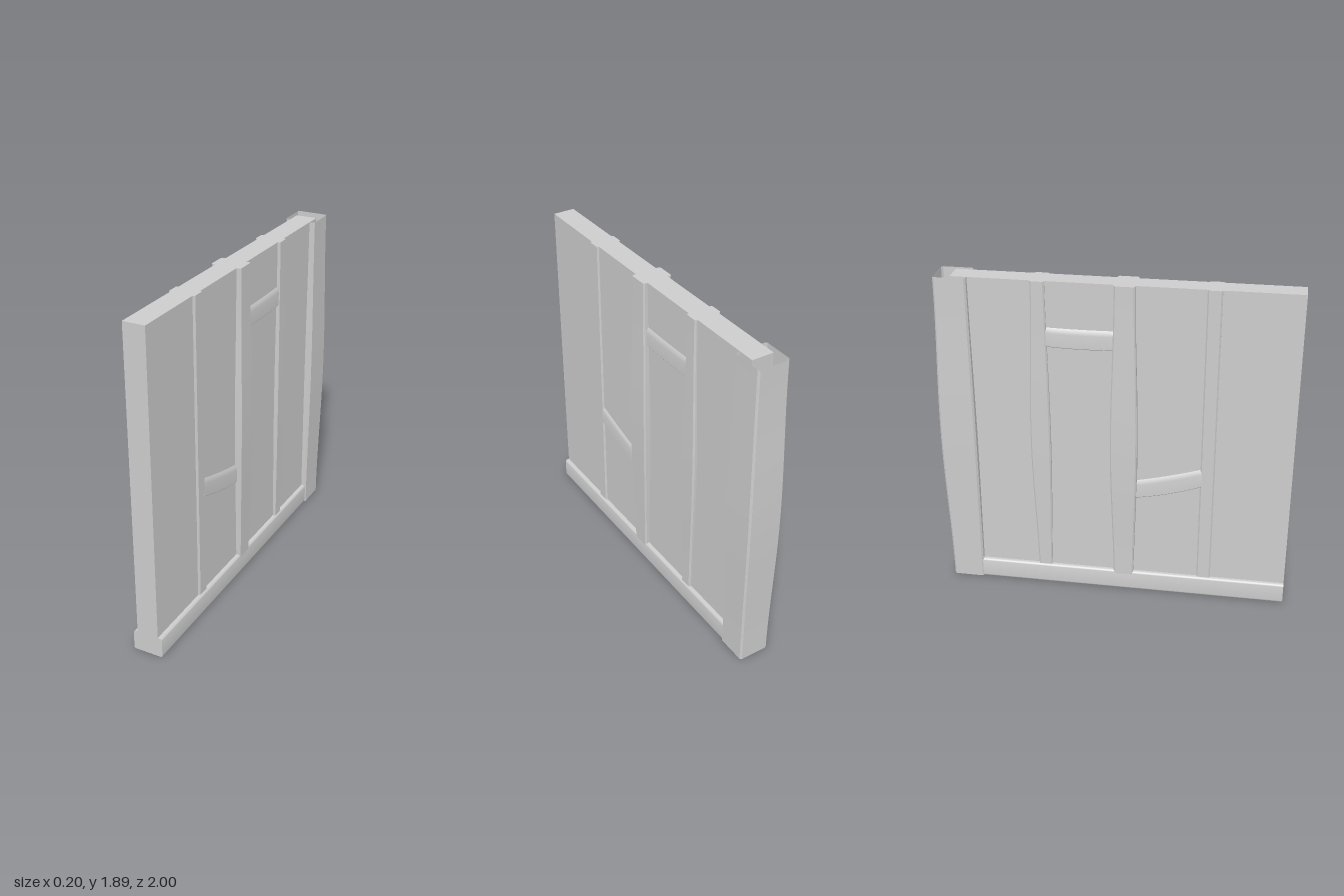
import * as THREE from 'three';
import { toCreasedNormals } from 'three/addons/utils/BufferGeometryUtils.js';

const H = 1.89, FACE = 0.0625, BASE = 0.12;

const plaster = new THREE.MeshStandardMaterial({ color: 0xcccccc, side: THREE.DoubleSide });
plaster.name = 'plainGrey';

// Skin a list of equal-length cross-sections; flip reverses the winding for mirrored parts
function loft(rings, { closed = false, caps = false, flip = false } = {}) {
  const n = rings[0].length, index = [];
  const tri = (a, b, c) => (flip ? index.push(a, c, b) : index.push(a, b, c));
  for (let i = 0; i < rings.length - 1; i++) {
    for (let j = 0; j < (closed ? n : n - 1); j++) {
      const a = i * n + j, b = i * n + (j + 1) % n;
      tri(a, b, b + n);
      tri(a, b + n, a + n);
    }
  }
  if (caps) {
    const last = (rings.length - 1) * n;
    for (let j = 1; j < n - 1; j++) {
      tri(0, j + 1, j);
      tri(last, last + j, last + j + 1);
    }
  }
  const geo = new THREE.BufferGeometry();
  geo.setAttribute('position', new THREE.Float32BufferAttribute(rings.flat(2), 3));
  geo.setIndex(index);
  return toCreasedNormals(geo, 0.5);
}

// Swelling factor: 0 at both ends, 1 at mid height
const swell = (y) => Math.sin(Math.PI * y / H) ** 2;

// Upright rib on one face of the panel, with bevelled outer edges
function ribGeometry(side, { z0, z1, out, grow0 = 0, grow1 = 0, growOut = 0 }) {
  const rings = [], c = 0.008;
  for (let i = 0; i <= 20; i++) {
    const y = 0.1 + (H - 0.1) * i / 20, s = swell(y);
    const a = z0 + grow0 * s, b = z1 - grow1 * s, x = out + growOut * s;
    rings.push([[FACE, a], [x - c, a], [x, a - c], [x, b + c], [x - c, b], [FACE, b]]
      .map(([px, pz]) => [side * px, y, pz]));
  }
  return loft(rings, { caps: true, flip: side < 0 });
}

// Short sagging brace between two ribs, softened along its top edge
function braceGeometry(side, { z0, z1, y0, y1, height, sag }) {
  const rings = [], out = FACE + 0.012;
  for (let i = 0; i <= 10; i++) {
    const t = i / 10, z = z0 + (z1 - z0) * t;
    const mid = y0 + (y1 - y0) * t;
    const low = mid - sag * 4 * t * (1 - t), top = mid + height - sag * 2 * t * (1 - t);
    rings.push([[FACE, low], [out - 0.003, low], [out, low + 0.004], [out, top - 0.03],
      [out - 0.004, top - 0.012], [FACE, top]].map(([px, py]) => [side * px, py, z]));
  }
  return loft(rings, { caps: true, flip: side < 0 });
}

export function createModel() {
  const group = new THREE.Group();
  group.name = 'wallSection';
  const add = (name, geo) => {
    const mesh = new THREE.Mesh(geo, plaster);
    mesh.name = name;
    group.add(mesh);
    return mesh;
  };

  // Main slab
  add('wallPanel', new THREE.BoxGeometry(FACE * 2, H, 1.89)).position.set(0, H / 2, 0.055);

  // Ribs and braces on both faces
  const ribs = {
    narrowRib: { z0: 0.57, z1: 0.49, out: 0.074 },
    centreRib: { z0: 0.115, z1: 0, out: 0.087, grow0: 0.018, grow1: 0.02, growOut: 0.015 },
    rearRib: { z0: -0.373, z1: -0.452, out: 0.077, grow0: 0.012, grow1: 0.024, growOut: 0.008 },
  };
  const braces = {
    lowerBrace: { z0: 0.5, z1: 0.11, y0: 0.725, y1: 0.62, height: 0.108, sag: 0.012 },
    upperBrace: { z0: 0.01, z1: -0.38, y0: 1.522, y1: 1.522, height: 0.108, sag: 0.006 },
  };
  for (const side of [1, -1]) {
    const label = side > 0 ? 'Left' : 'Right';
    for (const [name, spec] of Object.entries(ribs)) add(name + label, ribGeometry(side, spec));
    for (const [name, spec] of Object.entries(braces)) add(name + label, braceGeometry(side, spec));
  }

  // Base skirting with rounded long edges
  const w = 0.0875, r = 0.012;
  const skirt = new THREE.Shape();
  skirt.moveTo(-w + r, 0);
  skirt.lineTo(w - r, 0);
  skirt.quadraticCurveTo(w, 0, w, r);
  skirt.lineTo(w, BASE - 0.02);
  skirt.quadraticCurveTo(w, BASE, w - 0.018, BASE);
  skirt.lineTo(-w + 0.018, BASE);
  skirt.quadraticCurveTo(-w, BASE, -w, BASE - 0.02);
  skirt.lineTo(-w, r);
  skirt.quadraticCurveTo(-w, 0, -w + r, 0);
  const skirtGeo = new THREE.ExtrudeGeometry(skirt, { depth: 1.8, bevelEnabled: false, curveSegments: 5 });
  add('baseSkirting', toCreasedNormals(skirtGeo, 0.5)).position.z = -0.8;

  // Hollow end post wrapping the rear edge, open at top and bottom
  const rings = [], c = 0.01;
  for (let i = 0; i <= 20; i++) {
    const y = H * i / 20, s = swell(y);
    const x = 0.092 + 0.0105 * s, front = -0.796 + 0.005 * s, back = -0.98 - 0.019 * s;
    const half = [[FACE, front], [x - c, front], [x, front - c], [x, back + c], [x - c, back]];
    const mirrored = half.map(([px, pz]) => [-px, pz]).reverse();
    rings.push([...half, ...mirrored].map(([px, pz]) => [px, y, pz]));
  }
  add('endPost', loft(rings));

  return group;
}
